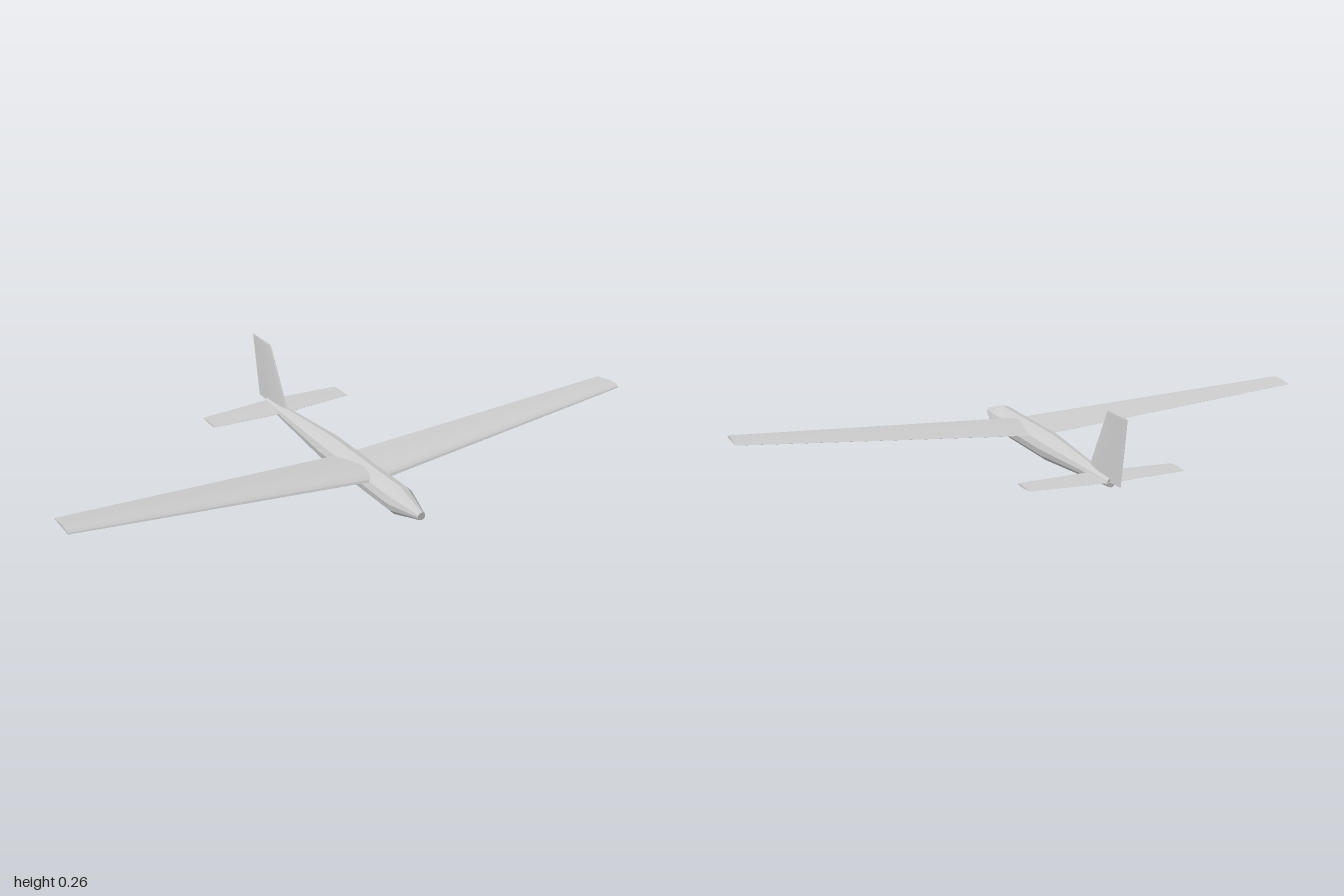
import * as THREE from 'three';

const grey = new THREE.MeshStandardMaterial({ color: 0xcccccc, flatShading: true });

// Airfoil upper curve, trailing edge (0) to leading edge (1): [chord position, height share]
const CURVE = [[0, 0.02], [0.15, 0.3], [0.3, 0.58], [0.45, 0.82], [0.58, 0.96], [0.7, 1],
  [0.8, 0.93], [0.88, 0.78], [0.94, 0.57], [0.98, 0.32], [1, 0.02]];

// Ring of one wing section; belly 0 gives a flat underside, 1 a symmetric section
function section({ x, y, front, back, height }, belly) {
  const point = (sign) => ([t, h]) =>
    new THREE.Vector3(x, y + sign * h * height, back + (front - back) * t);
  return [...CURVE.map(point(1)), ...[...CURVE].reverse().map(point(-belly))];
}

// Skin a row of sections along +x and close both ends
function loft(stations, belly) {
  const rings = stations.map((s) => section(s, belly));
  const n = rings[0].length, pos = [];
  const tri = (...pts) => pts.forEach((p) => pos.push(p.x, p.y, p.z));
  for (let i = 0; i < rings.length - 1; i++) {
    for (let j = 0; j < n; j++) {
      const k = (j + 1) % n, a = rings[i], b = rings[i + 1];
      tri(a[j], a[k], b[k]);
      tri(a[j], b[k], b[j]);
    }
  }
  const first = rings[0], last = rings[rings.length - 1];
  for (let j = 1; j < n - 1; j++) {
    tri(last[0], last[j], last[j + 1]);
    tri(first[0], first[j + 1], first[j]);
  }
  const geo = new THREE.BufferGeometry();
  geo.setAttribute('position', new THREE.Float32BufferAttribute(pos, 3));
  geo.computeVertexNormals();
  return geo;
}

// Tip, root, mirrored tip
const mirrored = (root, tip) => [{ ...tip, x: -tip.x }, root, tip];

export function createModel() {
  const model = new THREE.Group();
  model.name = 'glider';
  const add = (name, geo) => {
    const mesh = new THREE.Mesh(geo, grey);
    mesh.name = name;
    model.add(mesh);
    return mesh;
  };

  // Fuselage: twelve-sided body with tapered nose and tail boom
  const profile = [[0, -0.432], [0.014, -0.432], [0.046, 0], [0.046, 0.42], [0.013, 0.535], [0, 0.535]]
    .map(([r, z]) => new THREE.Vector2(r, z));
  add('fuselage', new THREE.LatheGeometry(profile, 12).rotateX(Math.PI / 2)).position.y = 0.046;

  // Main wing with dihedral and a flat underside
  add('mainWing', loft(mirrored(
    { x: 0, y: 0.064, front: 0.305, back: 0.09, height: 0.022 },
    { x: 1, y: 0.132, front: 0.248, back: 0.138, height: 0.011 }), 0));

  // Horizontal tailplane
  add('tailplane', loft(mirrored(
    { x: 0, y: 0.048, front: -0.31, back: -0.437, height: 0.005 },
    { x: 0.26, y: 0.048, front: -0.329, back: -0.417, height: 0.0035 }), 1));

  // Swept vertical fin, skinned along x and then stood upright
  add('tailFin', loft([
    { x: 0.048, y: 0, front: -0.277, back: -0.495, height: 0.006 },
    { x: 0.265, y: 0, front: -0.404, back: -0.535, height: 0.004 }], 1).rotateZ(Math.PI / 2));

  return model;
}
